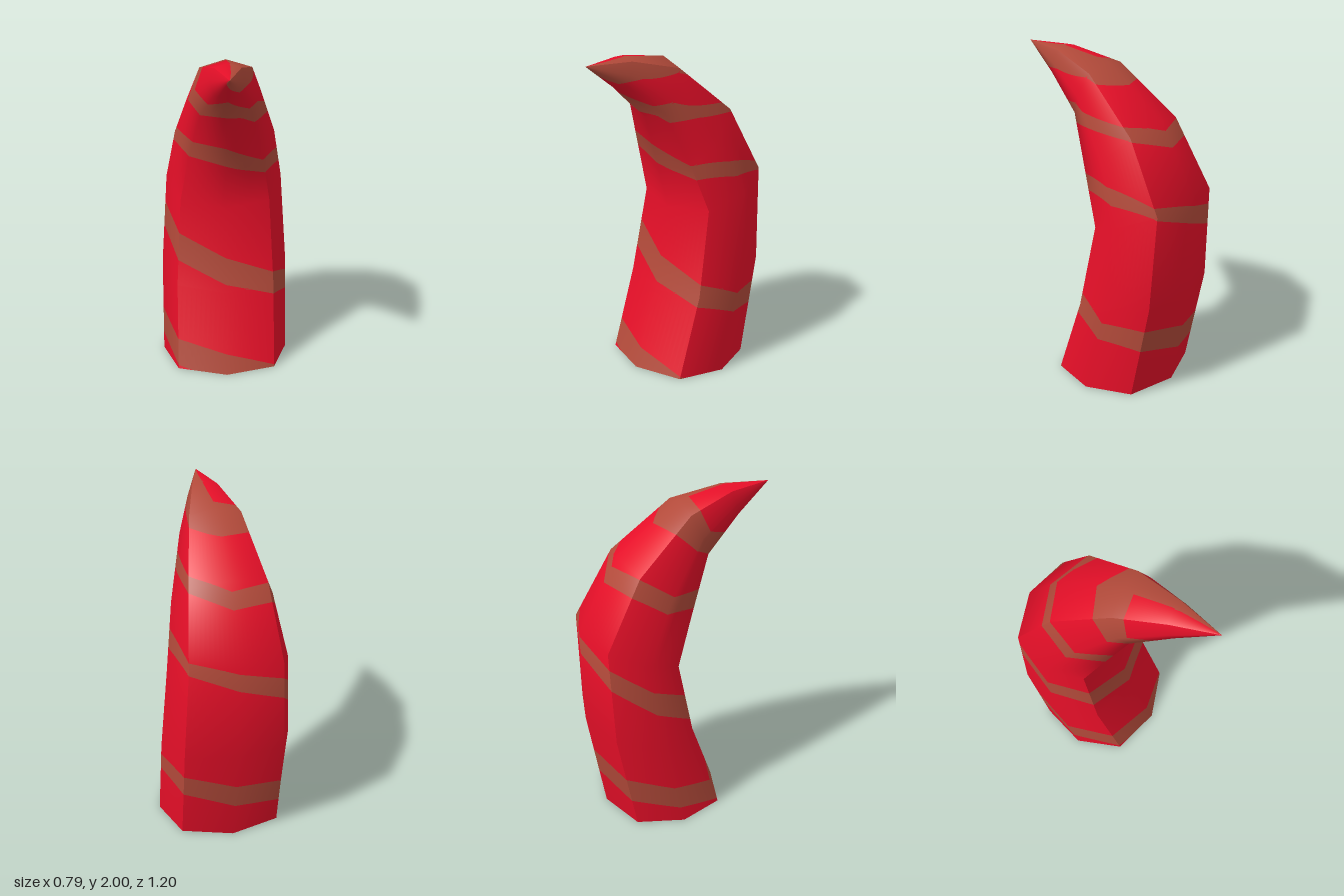
import * as THREE from 'three';

// Rings from base to tip: [front z, front y, back z, back y, half width]
const RINGS = [
  [0.26, 0, -0.47, 0, 0.395],
  [0.09, 0.48, -0.585, 0.64, 0.395],
  [-0.02, 1.0, -0.6, 1.23, 0.36],
  [0.06, 1.26, -0.36, 1.66, 0.3],
  [0.165, 1.61, 0.02, 1.945, 0.2],
  [0.38, 1.81, 0.32, 2.0, 0.1],
  [0.6, 1.98, 0.6, 1.98, 0],
];
// Octagonal section, starting at the front and turning towards +x
const SIDE = [0, 0.76, 1, 0.76, 0, -0.76, -1, -0.76];
const FRONT = [1, 0.75, 0, -0.75, -1, -0.75, 0, 0.75];

// Spiral stripe: [eighth-turns climbed, lower ring position, upper ring position]
const STRIPE = [
  [-2, -0.6, -0.2], [0, -0.1, 0.25], [2, 0.18, 0.46], [4, 0.375, 0.625], [6, 0.66, 0.87],
  [8, 1.1, 1.42], [9, 1.3, 1.62], [10, 1.43, 1.7], [12, 1.76, 1.95], [13, 1.97, 2.12],
  [14, 2.33, 2.62], [16, 3.14, 3.49], [17, 3.15, 3.45], [18, 2.83, 3.1], [20, 2.67, 2.88],
  [21, 2.95, 3.17], [22, 3.5, 3.75], [24, 4.2, 4.9], [26, 3.8, 4.2], [28, 3.6, 4.23],
  [28.4, 3.68, 6], [29, 3.83, 6], [30, 4.8, 6], [32, 5.6, 6], [34, 6, 6],
];

function stripeEdges(s) {
  if (s <= STRIPE[0][0]) return STRIPE[0].slice(1);
  const i = STRIPE.findIndex((p) => p[0] >= s);
  if (i < 0) return [6, 6];
  const a = STRIPE[i - 1], b = STRIPE[i], f = (s - a[0]) / (b[0] - a[0]);
  return [1, 2].map((j) => THREE.MathUtils.lerp(a[j], b[j], f));
}

// All colour boundaries along the horn at one angle
function boundaries(u) {
  const list = [0];
  for (let k = 0; k <= 5; k++) list.push(...stripeEdges(8 * k - u));
  return [...list, 6];
}

function node(u, t) {
  const [fz, fy, bz, by, w] = RINGS[t], i = (u + 8) % 8;
  const f = (1 + FRONT[i]) / 2;
  return new THREE.Vector3(SIDE[i] * w, by + (fy - by) * f, bz + (fz - bz) * f);
}

// Smooth normal, broken along the diagonal ridges
function nodeNormal(u, t, stripStart) {
  const i = (u + 8) % 8;
  const sharp = i % 2 === 1 && (i === 3 || i === 5 || t <= 2);
  const a = sharp && u === stripStart ? u : u - 1;
  const b = sharp && u !== stripStart ? u : u + 1;
  const ring = Math.min(t, 5);
  const across = node(b, ring).sub(node(a, ring));
  const along = node(u, Math.min(t + 1, 6)).sub(node(u, Math.max(t - 1, 0)));
  return across.cross(along).normalize();
}

function blend(fn, c, r, u, t) {
  const left = fn(c, r).lerp(fn(c, r + 1), t - r);
  const right = fn(c + 1, r).lerp(fn(c + 1, r + 1), t - r);
  return left.lerp(right, u - c);
}

function toGeometry({ pos, nor }) {
  const g = new THREE.BufferGeometry();
  g.setAttribute('position', new THREE.Float32BufferAttribute(pos, 3));
  g.setAttribute('normal', new THREE.Float32BufferAttribute(nor, 3));
  return g;
}

export function createModel() {
  const red = new THREE.MeshStandardMaterial({ color: 0xe60f28 });
  red.name = 'red';
  const brown = new THREE.MeshStandardMaterial({ color: 0xb24a3a });
  brown.name = 'brown';

  const skin = { pos: [], nor: [] }, stripe = { pos: [], nor: [] };
  const STEPS = 10;
  for (let c = 0; c < 8; c++) {
    const stripStart = 2 * Math.floor((c + 1) / 2) - 1;
    const normalAt = (u, t) => nodeNormal(u, t, stripStart);
    for (let j = 0; j < STEPS; j++) {
      const u0 = c + j / STEPS, u1 = c + (j + 1) / STEPS;
      const left = boundaries(u0), right = boundaries(u1);
      for (let r = 0; r < 6; r++) {
        const clip = (t) => THREE.MathUtils.clamp(t, r, r + 1);
        for (let b = 0; b + 1 < left.length; b++) {
          const quad = [
            [u0, clip(left[b])], [u1, clip(right[b])],
            [u1, clip(right[b + 1])], [u0, clip(left[b + 1])],
          ];
          const target = b % 2 ? stripe : skin;
          for (const tri of [[0, 1, 2], [0, 2, 3]]) {
            const p = tri.map((k) => blend(node, c, r, ...quad[k]));
            if (new THREE.Triangle(...p).getArea() < 1e-8) continue;
            tri.forEach((k, n) => {
              target.pos.push(...p[n].toArray());
              target.nor.push(...blend(normalAt, c, r, ...quad[k]).normalize().toArray());
            });
          }
        }
      }
    }
  }

  // Flat underside
  const base = { pos: [], nor: [] };
  for (let i = 0; i < 8; i++) {
    for (const p of [new THREE.Vector3(0, 0, -0.105), node(i + 1, 0), node(i, 0)]) {
      base.pos.push(...p.toArray());
      base.nor.push(0, -1, 0);
    }
  }

  const group = new THREE.Group();
  group.name = 'curvedHorn';
  for (const [name, data, material] of [
    ['hornSkin', skin, red], ['spiralStripe', stripe, brown], ['hornBase', base, red],
  ]) {
    const mesh = new THREE.Mesh(toGeometry(data), material);
    mesh.name = name;
    group.add(mesh);
  }
  return group;
}
